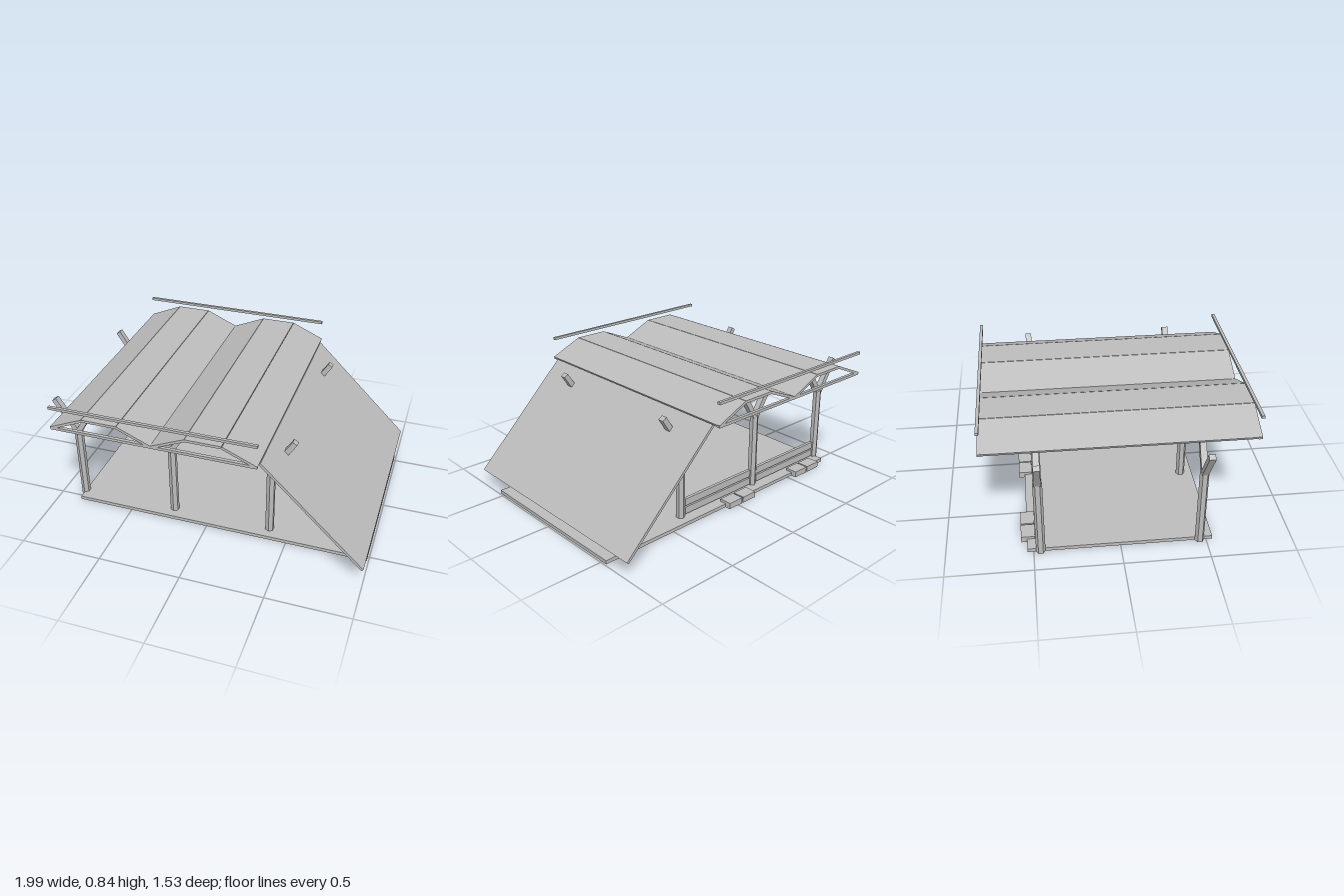
import * as THREE from 'three';

export function createModel() {
  const model = new THREE.Group();
  const grey = new THREE.MeshStandardMaterial({ color: 0xbcbcbc, flatShading: true });
  grey.name = 'plain grey';

  const add = (name, geometry, x, y, z) => {
    const mesh = new THREE.Mesh(geometry, grey);
    mesh.name = name;
    mesh.position.set(x, y, z);
    model.add(mesh);
    return mesh;
  };
  // Box given by its limits on each axis
  const block = (name, x0, x1, y0, y1, z0, z1) =>
    add(name, new THREE.BoxGeometry(x1 - x0, y1 - y0, z1 - z0),
      (x0 + x1) / 2, (y0 + y1) / 2, (z0 + z1) / 2);
  // Box running between two points of the x-y plane
  const beam = (name, x0, y0, x1, y1, thick, z, depth) => {
    const length = Math.hypot(x1 - x0, y1 - y0);
    const mesh = add(name, new THREE.BoxGeometry(length, thick, depth),
      (x0 + x1) / 2, (y0 + y1) / 2, z);
    mesh.rotation.z = Math.atan2(y1 - y0, x1 - x0);
  };

  const bays = [-0.85, -0.235, 0.38];

  // Floor slab
  block('floor', -0.85, 0.99, 0, 0.022, -0.535, 0.535);

  // Six hexagonal posts, each with a forked top
  for (const z of [-0.46, 0.46]) {
    for (const x of bays) {
      add('post', new THREE.CylinderGeometry(0.027, 0.027, 0.497, 6), x, 0.2485, z);
      for (const side of [-1, 1]) {
        beam('forkArm', x + side * 0.008, 0.492, x + side * 0.135, 0.69, 0.032, z, 0.037);
      }
    }
  }

  for (let i = 0; i < 2; i++) {
    const a = bays[i], b = bays[i + 1];

    // Faceted roof arch of three slabs
    const profile = [[a, 0.697], [a + 0.205, 0.785], [b - 0.2, 0.785], [b, 0.697]];
    for (let j = 0; j < 3; j++) {
      beam('roofSlab', ...profile[j], ...profile[j + 1], 0.016, 0, 1.53);
    }

    // Tie beams at the eaves and the rails above them
    for (const z of [-0.755, 0.755]) {
      block('tieBeam', a, b, 0.689, 0.706, z - 0.01, z + 0.01);
      block('upperRail', a, b, 0.822, 0.838, z - 0.009, z + 0.009);
    }

    // Low rails between the back posts
    block('lowerPlank', a + 0.03, b - 0.03, 0.03, 0.075, -0.47, -0.45);
    block('upperPlank', a + 0.03, b - 0.03, 0.085, 0.13, -0.47, -0.45);

    // Pair of steps at the back edge
    for (const s of [0, 0.117]) {
      block('step', a + 0.085 + s, a + 0.193 + s, 0, 0.038, -0.57, -0.49);
    }
  }

  // Sloping side panel
  beam('sidePanel', 0.38, 0.693, 0.99, 0.094, 0.016, 0, 1.44);

  return model;
}
